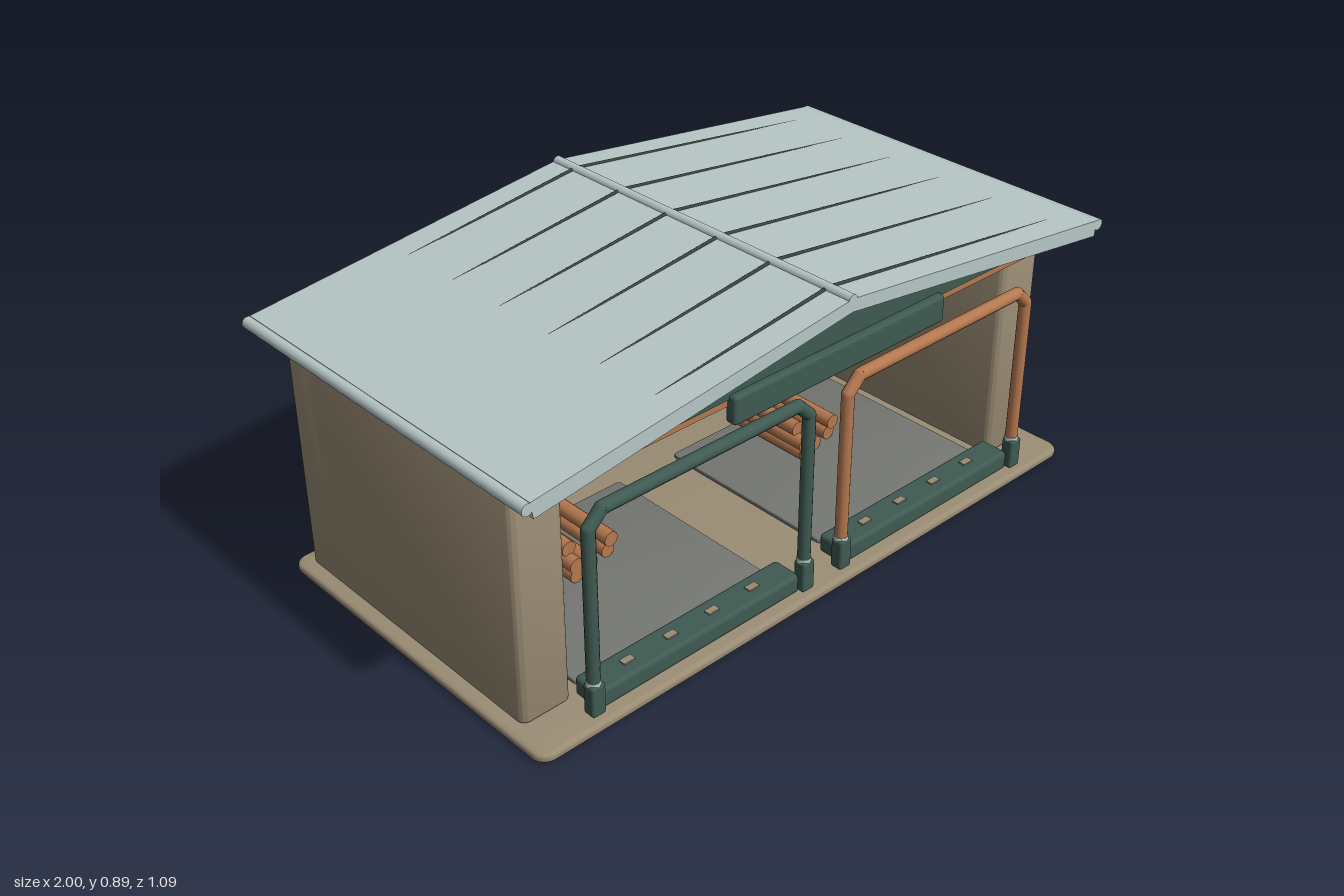
import * as THREE from 'three';
import { toCreasedNormals } from 'three/addons/utils/BufferGeometryUtils.js';
import { RoundedBoxGeometry } from 'three/addons/geometries/RoundedBoxGeometry.js';

const mat = (name, color) => Object.assign(new THREE.MeshStandardMaterial({ color }), { name });

export function createModel() {
  const model = new THREE.Group();
  model.name = 'doubleBayShelter';
  const clay = mat('clay wall', 0x9a8c74);
  const roofGrey = mat('pale roof', 0xb7c6c6);
  const green = mat('dark green', 0x3f5a52);
  const copper = mat('copper', 0xb5784f);
  const matGrey = mat('mat grey', 0x747671);
  const seamDark = mat('seam dark', 0x35433f);

  const add = (name, geo, material, x = 0, y = 0, z = 0, parent = model) => {
    const mesh = new THREE.Mesh(geo, material);
    mesh.name = name;
    mesh.position.set(x, y, z);
    parent.add(mesh);
    return mesh;
  };

  // Block with rounded plan corners (r) and bevelled top and bottom (b), standing on y = 0
  const block = (w, h, d, r, b) => {
    const x = w / 2 - b, y = d / 2 - b, s = new THREE.Shape();
    s.moveTo(-x + r, -y);
    s.lineTo(x - r, -y).absarc(x - r, -y + r, r, -Math.PI / 2, 0);
    s.lineTo(x, y - r).absarc(x - r, y - r, r, 0, Math.PI / 2);
    s.lineTo(-x + r, y).absarc(-x + r, y - r, r, Math.PI / 2, Math.PI);
    s.lineTo(-x, -y + r).absarc(-x + r, -y + r, r, Math.PI, Math.PI * 1.5);
    const g = new THREE.ExtrudeGeometry(s, {
      depth: h - 2 * b, bevelThickness: b, bevelSize: b, bevelSegments: 3, curveSegments: 6,
    });
    g.rotateX(-Math.PI / 2).translate(0, b, 0);
    return toCreasedNormals(g, 0.7);
  };

  // Round bar between two points
  const bar = (name, a, b, r, material, parent = model) => {
    const p = new THREE.Vector3(...a), q = new THREE.Vector3(...b), dir = q.clone().sub(p);
    const mesh = add(name, new THREE.CylinderGeometry(r, r, dir.length(), 14), material, 0, 0, 0, parent);
    mesh.position.copy(p).add(q).multiplyScalar(0.5);
    mesh.quaternion.setFromUnitVectors(new THREE.Vector3(0, 1, 0), dir.normalize());
    return mesh;
  };

  // Front profile extruded along z, centred
  const profile = (points, length) => {
    const s = new THREE.Shape(points.map(([x, y]) => new THREE.Vector2(x, y)));
    return new THREE.ExtrudeGeometry(s, { depth: length, bevelEnabled: false }).translate(0, 0, -length / 2);
  };

  // Base slab and walls
  add('baseSlab', block(1.93, 0.027, 1.05, 0.03, 0.011), clay);
  for (const s of [-1, 1]) {
    add('sideWall', block(0.15, 0.672, 0.895, 0.012, 0.012), clay, s * 0.85, 0.022, -0.0425);
  }
  add('backWall', block(1.85, 0.683, 0.17, 0.022, 0.012), clay, 0, 0.022, -0.405);

  // Pitched roof, gable filling, ridge and gutters
  add('roof', profile([
    [0, 0.876], [-0.975, 0.757], [-0.968, 0.712], [0, 0.84], [0.968, 0.712], [0.975, 0.757],
  ], 1.094), roofGrey);
  add('gable', profile([[-0.78, 0.735], [0.78, 0.735], [0, 0.842]], 1.02), green);
  bar('ridgeCap', [0, 0.872, -0.547], [0, 0.872, 0.547], 0.015, roofGrey);
  for (const s of [-1, 1]) {
    bar('gutter', [s * 0.983, 0.742, -0.547], [s * 0.983, 0.742, 0.547], 0.016, roofGrey);
  }

  // Standing seams that sink into the roof towards the eaves
  for (const s of [-1, 1]) {
    const end = s > 0 ? 0.86 : 0.56;
    const top = (x) => 0.876 - 0.122 * x;
    for (let i = 0; i < 6; i++) {
      const z = -0.468 + i * 0.1872;
      bar('roofSeam', [s * 0.015, top(0.015) + 0.001, z], [s * end, top(end) - 0.005, z], 0.005, seamDark);
    }
  }

  // Door track and header panel
  add('doorTrack', new THREE.BoxGeometry(1.55, 0.022, 0.03), copper, 0, 0.726, 0.49);
  add('headerPanel', new RoundedBoxGeometry(0.735, 0.078, 0.035, 3, 0.01), green, 0, 0.708, 0.513);

  // Two bays, each with a frame, threshold, mat and log pile
  for (const s of [-1, 1]) {
    const bay = new THREE.Group();
    bay.name = s < 0 ? 'rightBay' : 'leftBay';
    bay.position.x = s * 0.4215;
    model.add(bay);
    const frameMat = s < 0 ? green : copper;

    // Tubular frame with clipped corners
    const w = 0.352, c = 0.04, top = 0.598, z = 0.484, r = 0.0175;
    const path = [[-w, 0.035, z], [-w, top - c, z], [-w + c, top, z], [w - c, top, z], [w, top - c, z], [w, 0.035, z]];
    for (let i = 0; i < path.length - 1; i++) {
      bar('frameTube', path[i], path[i + 1], r, frameMat, bay);
      if (i > 0) add('frameElbow', new THREE.SphereGeometry(r, 14, 10), frameMat, ...path[i], bay);
    }
    add('frameHook', new THREE.BoxGeometry(0.04, 0.006, 0.038), seamDark, 0, 0.568, 0.45, bay);

    // Post shoes with pale collars
    for (const e of [-1, 1]) {
      add('postShoe', new RoundedBoxGeometry(0.042, 0.09, 0.038, 3, 0.008), green, e * w, 0.078, 0.487, bay);
      add('shoeCollar', new THREE.CylinderGeometry(0.019, 0.021, 0.016, 14), roofGrey, e * w, 0.122, z, bay);
    }

    // Threshold with studs
    add('threshold', new RoundedBoxGeometry(0.68, 0.056, 0.09, 3, 0.012), green, 0, 0.053, 0.441, bay);
    for (let i = 0; i < 4; i++) {
      add('thresholdStud', new THREE.BoxGeometry(0.035, 0.008, 0.02), clay, -0.21 + i * 0.14, 0.081, 0.44, bay);
    }

    // Floor mat and logs
    add('floorMat', block(0.64, 0.014, 0.58, 0.01, 0.004), matGrey, 0, 0.026, 0.09, bay);
    const logs = [[-0.066, 0.062], [-0.005, 0.062], [0.064, 0.062], [-0.066, 0.092], [0.064, 0.105], [-0.066, 0.13]];
    logs.forEach(([x, y], i) => {
      const shift = (i % 3) * -0.015;
      bar('log', [x, y, 0.08 + shift], [x, y, -0.17 + shift], 0.022, copper, bay);
    });
  }
  return model;
}
